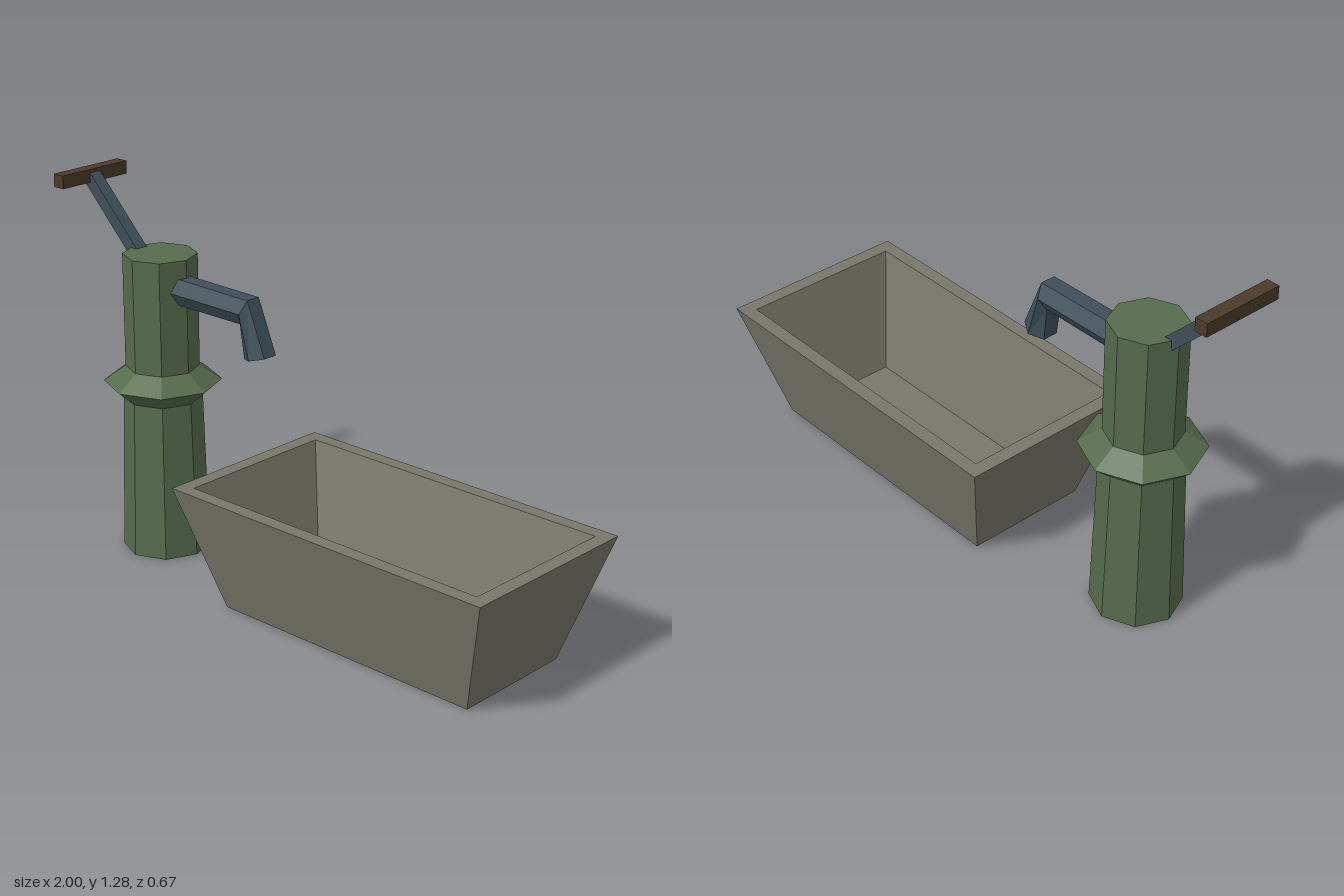
import * as THREE from 'three';

const paint = (name, color) => {
  const m = new THREE.MeshStandardMaterial({ color });
  m.name = name;
  return m;
};

// Split shared vertices so every face is flat
function faceted(geo) {
  const g = geo.index ? geo.toNonIndexed() : geo;
  g.computeVertexNormals();
  return g;
}

// Skin a series of equal-sized point rings and close both ends
function loft(rings) {
  const n = rings[0].length;
  const index = [];
  for (let r = 0; r < rings.length - 1; r++) {
    for (let i = 0; i < n; i++) {
      const j = (i + 1) % n;
      const a = r * n + i, b = r * n + j, c = b + n, d = a + n;
      index.push(a, b, c, a, c, d);
    }
  }
  const last = (rings.length - 1) * n;
  for (let i = 1; i < n - 1; i++) {
    index.push(0, i + 1, i, last, last + i, last + i + 1);
  }
  const geo = new THREE.BufferGeometry();
  geo.setAttribute('position', new THREE.Float32BufferAttribute(rings.flat(2), 3));
  geo.setIndex(index);
  return faceted(geo);
}

export function createModel() {
  const green = paint('green iron', 0x566b4c);
  const steel = paint('blue steel', 0x3f4f59);
  const wood = paint('dark wood', 0x4c3a2b);
  const stone = paint('grey stone', 0x79776a);

  const model = new THREE.Group();
  model.name = 'waterPumpAndTrough';
  const add = (name, geo, mat, parent = model) => {
    const mesh = new THREE.Mesh(geo, mat);
    mesh.name = name;
    parent.add(mesh);
    return mesh;
  };

  // Eight-sided pump body
  const pump = new THREE.Group();
  pump.name = 'pump';
  pump.position.x = -0.645;
  model.add(pump);
  const turned = (name, profile) => add(name,
    faceted(new THREE.LatheGeometry(profile.map(p => new THREE.Vector2(...p)), 8)), green, pump);
  turned('pumpBase', [[0, 0], [0.149, 0], [0.134, 0.55]]);
  turned('pumpCollar', [[0.134, 0.548], [0.2, 0.605], [0.125, 0.657]]);
  turned('pumpBarrel', [[0.125, 0.65], [0.125, 1.05], [0, 1.05]]);

  // Six-sided spout bending down: centre x, y and the half-height vector
  const hexagon = ([x, y, ux, uy]) => Array.from({ length: 6 }, (_, i) => {
    const a = i * Math.PI / 3;
    const s = Math.sin(a) / Math.sin(Math.PI / 3);
    return [x + ux * s, y + uy * s, -0.053 * Math.cos(a)];
  });
  add('spout', loft([
    [-0.56, 0.944, 0, 0.045],
    [-0.2275, 0.942, 0.0125, 0.043],
    [-0.185, 0.794, 0.045, 0.011],
  ].map(hexagon)), steel);

  // Slanted lever with a wooden cross grip
  const low = new THREE.Vector2(-0.75, 1.035);
  const high = new THREE.Vector2(-0.975, 1.26);
  const lever = add('lever', new THREE.BoxGeometry(low.distanceTo(high), 0.045, 0.045), steel);
  lever.position.set((low.x + high.x) / 2, (low.y + high.y) / 2, 0);
  lever.rotation.z = Math.atan2(low.y - high.y, low.x - high.x);
  add('grip', new THREE.BoxGeometry(0.045, 0.045, 0.286), wood).position.set(-0.9775, 1.261, 0);

  // Trough: outer wall, rim, inner wall and floor
  const rectangle = ([y, w, d]) => [[w, y, d], [w, y, -d], [-w, y, -d], [-w, y, d]];
  add('trough', loft([
    [0, 0.502, 0.219],
    [0.42, 0.628, 0.335],
    [0.42, 0.578, 0.286],
    [0.03, 0.453, 0.17],
  ].map(rectangle)), stone).position.x = 0.372;

  return model;
}
